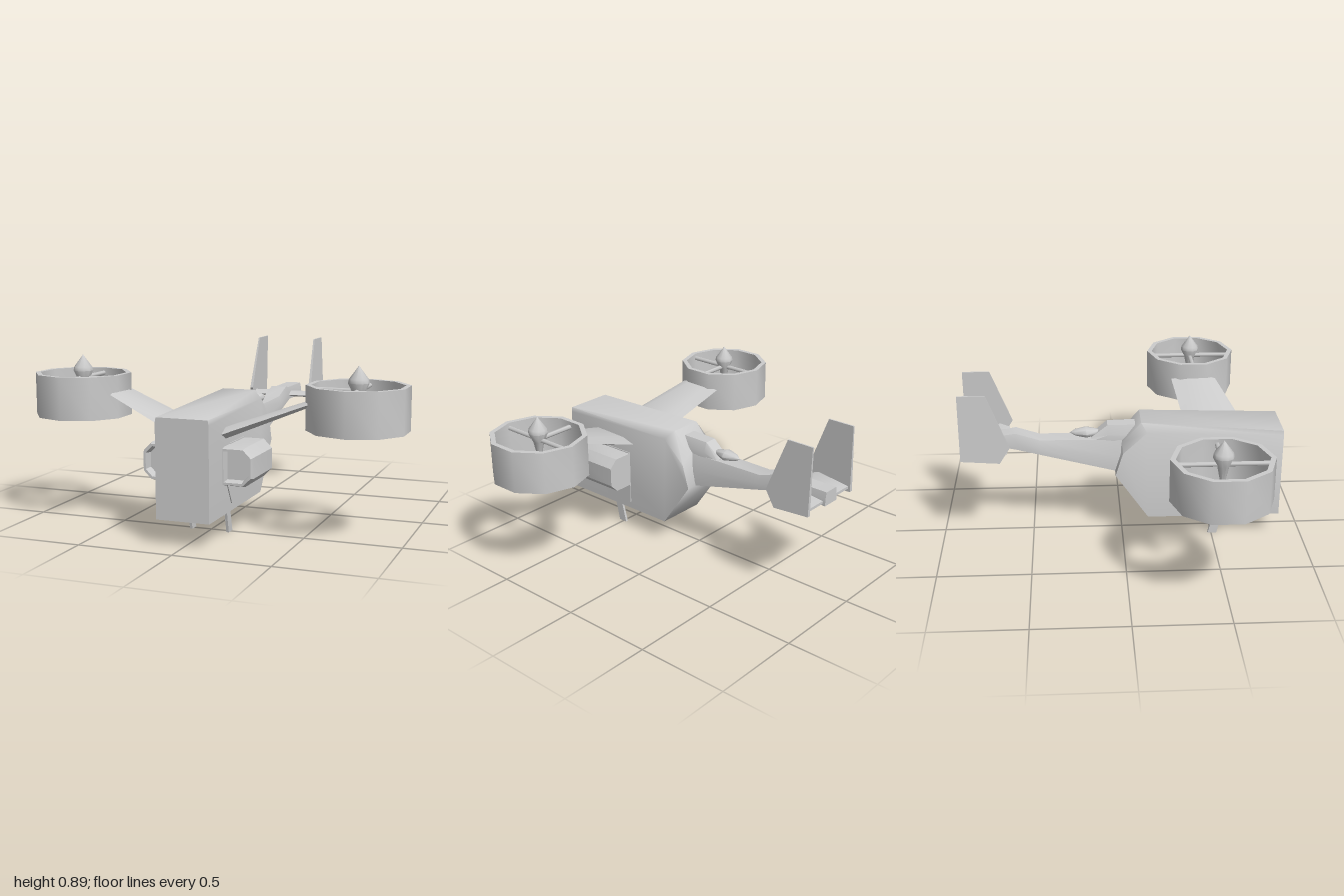
import * as THREE from 'three';
import { toCreasedNormals } from 'three/addons/utils/BufferGeometryUtils.js';

const material = new THREE.MeshStandardMaterial({ color: 0xcccccc, side: THREE.DoubleSide });

// Turns the faces of a closed indexed geometry outwards and sets its normals
function finish(geo, crease) {
  const p = geo.attributes.position, idx = geo.index;
  const a = new THREE.Vector3(), b = new THREE.Vector3(), c = new THREE.Vector3();
  let volume = 0;
  for (let i = 0; i < idx.count; i += 3) {
    a.fromBufferAttribute(p, idx.getX(i));
    b.fromBufferAttribute(p, idx.getX(i + 1));
    c.fromBufferAttribute(p, idx.getX(i + 2));
    volume += a.dot(b.cross(c));
  }
  if (volume < 0) {
    for (let i = 0; i < idx.count; i += 3) {
      const t = idx.getX(i);
      idx.setX(i, idx.getX(i + 1));
      idx.setX(i + 1, t);
    }
  }
  return toCreasedNormals(geo, crease);
}

// Skins equal-length rings of [x, y, z] points and caps both ends
function loft(rings, crease = 0.6) {
  const n = rings[0].length, index = [];
  for (let r = 0; r < rings.length - 1; r++) {
    for (let i = 0; i < n; i++) {
      const a = r * n + i, b = r * n + (i + 1) % n;
      index.push(a, b, a + n, b, b + n, a + n);
    }
  }
  const last = (rings.length - 1) * n;
  for (let i = 1; i < n - 1; i++) {
    index.push(0, i + 1, i, last, last + i, last + i + 1);
  }
  const geo = new THREE.BufferGeometry();
  geo.setAttribute('position', new THREE.Float32BufferAttribute(rings.flat(2), 3));
  geo.setIndex(index);
  return finish(geo, crease);
}

// Mirrors a half ring (bottom to top, x > 0) into a full one
const mirrorRing = half => [...half, ...half.slice().reverse().map(([x, y, z]) => [-x, y, z])];

// Box-like ring across the z axis
const section = (z, w, y0, y1, topW = w) => mirrorRing([[w, y0, z], [w, (y0 + y1) / 2, z], [topW, y1, z]]);

function add(parent, name, geo) {
  const mesh = new THREE.Mesh(geo, material);
  mesh.name = name;
  parent.add(mesh);
  return mesh;
}

// Round bar between two points
function bar(parent, name, from, to, radius) {
  const a = new THREE.Vector3(...from), b = new THREE.Vector3(...to);
  const mesh = add(parent, name, new THREE.CylinderGeometry(radius, radius, a.distanceTo(b), 6));
  mesh.position.copy(a).lerp(b, 0.5);
  mesh.quaternion.setFromUnitVectors(new THREE.Vector3(0, 1, 0), b.sub(a).normalize());
}

// Ducted fan with three struts and a pointed hub
function liftFan(side) {
  const fan = new THREE.Group();
  fan.name = side > 0 ? 'leftLiftFan' : 'rightLiftFan';
  const ring = [[0.257, 0.555], [0.257, 0.78], [0.23, 0.78], [0.23, 0.555], [0.257, 0.555]];
  const hub = [[0, 0.6], [0.03, 0.74], [0.053, 0.79], [0.048, 0.81], [0, 0.875]];
  const toLathe = (pts, n) => new THREE.LatheGeometry(pts.map(p => new THREE.Vector2(...p)), n);
  add(fan, 'duct', finish(toLathe(ring, 10), 0.8));
  add(fan, 'hub', finish(toLathe(hub, 10), 0.8));
  bar(fan, 'strut', [0, 0.75, -0.24], [0, 0.75, 0.24], 0.013);
  bar(fan, 'strut', [0, 0.75, 0], [-side * 0.23, 0.75, 0], 0.013);
  fan.position.set(side * 0.755, 0, 0.45);
  return fan;
}

// Wing section: a flat lens at one span station
const wingRing = (x, y, zFront, zBack, t) => [
  [x, y, zFront], [x, y + t, zFront - 0.06], [x, y + t * 0.8, zBack + 0.08],
  [x, y, zBack], [x, y - t * 0.8, zBack + 0.08], [x, y - t, zFront - 0.06]];

export function createModel() {
  const model = new THREE.Group();
  model.name = 'tiltFanAircraft';

  // Hull, slanting at the rear
  add(model, 'hull', loft([
    mirrorRing([[0.14, 0.13, 0.87], [0.14, 0.61, 0.87], [0.135, 0.635, 0.87]]),
    mirrorRing([[0.14, 0.13, 0.14], [0.14, 0.64, 0.13], [0.09, 0.68, 0.1]]),
    mirrorRing([[0.14, 0.39, -0.04], [0.14, 0.52, 0.0], [0.09, 0.565, 0.0]]),
  ], 1.0));

  // Tail boom
  add(model, 'tailBoom', loft([
    section(0.02, 0.08, 0.39, 0.565, 0.06),
    section(-0.04, 0.078, 0.39, 0.565, 0.055),
    section(-0.45, 0.06, 0.488, 0.568, 0.045),
    section(-0.58, 0.055, 0.52, 0.61, 0.045),
    section(-0.64, 0.05, 0.53, 0.6, 0.042),
    section(-0.87, 0.05, 0.525, 0.6, 0.042),
  ], 0.9));

  // Dorsal housing and its bullet-shaped exhaust
  add(model, 'dorsalHousing', loft([
    section(0.1, 0.06, 0.54, 0.648, 0.04),
    section(-0.08, 0.055, 0.54, 0.645, 0.035),
    section(-0.17, 0.045, 0.54, 0.57, 0.03),
  ]));
  const exhaust = add(model, 'exhaust', finish(new THREE.LatheGeometry(
    [[0, -0.09], [0.025, -0.06], [0.042, 0], [0.025, 0.06], [0, 0.09]]
      .map(p => new THREE.Vector2(...p)), 8), 0.9));
  exhaust.rotation.x = Math.PI / 2;
  exhaust.scale.z = 0.7;
  exhaust.position.set(0, 0.592, -0.195);

  // Tailplane
  add(model, 'tailplane', loft([-0.185, 0.185].map(x => [
    [x, 0.555, -0.62], [x, 0.575, -0.67], [x, 0.55, -0.855], [x, 0.535, -0.855], [x, 0.54, -0.67]])));

  for (const side of [1, -1]) {
    const prefix = side > 0 ? 'left' : 'right';

    model.add(liftFan(side));

    // Upswept, tapered wing
    add(model, prefix + 'Wing', loft([
      wingRing(side * 0.1, 0.525, 0.722, 0.375, 0.03),
      wingRing(side * 0.53, 0.685, 0.58, 0.32, 0.016),
    ]));

    // Side pod with a recessed front
    const outline = [[0.13, 0.475], [0.25, 0.475], [0.295, 0.43], [0.295, 0.325], [0.25, 0.28], [0.13, 0.28]];
    const podRing = (z, k) => outline.map(([x, y]) =>
      [side * (0.2 + (x - 0.2) * k), 0.378 + (y - 0.378) * k, z]);
    add(model, prefix + 'Pod', loft([
      podRing(0.4, 1), podRing(0.67, 1), podRing(0.695, 0.92), podRing(0.695, 0.8), podRing(0.65, 0.72)]));

    // Thin fairing between pod and hull
    const fairing = [[0.48, 0.6], [0.48, 0.4], [0.17, 0.4], [0.17, 0.58], [0.28, 0.64]];
    add(model, prefix + 'PodFairing', loft([0.12, 0.145].map(x => fairing.map(([y, z]) => [side * x, y, z]))));

    // Swept tail fin, thicker at the foot
    const fin = [[0.59, -0.605], [0.505, -0.66], [0.52, -0.868], [0.887, -0.868], [0.887, -0.72]];
    add(model, prefix + 'TailFin', loft([-1, 1].map(d => fin.map(([y, z]) =>
      [side * (0.187 - (y - 0.5) * 0.03 + d * (0.01 - (y - 0.5) * 0.015)), y, z]))));

    // Landing leg
    const leg = [[0.15, 0.565], [0.12, 0.555], [0, 0.53], [0, 0.48], [0.12, 0.51], [0.15, 0.51]];
    add(model, prefix + 'LandingLeg', loft([0.094, 0.108].map(x => leg.map(([y, z]) => [side * x, y, z]))));
  }

  // Belly strut with a small gun-like stub
  const stub = [[0.14, 0.61], [0.115, 0.59], [0.115, 0.54], [0.055, 0.49], [0.055, 0.465], [0.14, 0.5]];
  add(model, 'bellyStrut', loft([-0.017, 0.017].map(x => stub.map(([y, z]) => [x, y, z]))));

  return model;
}
